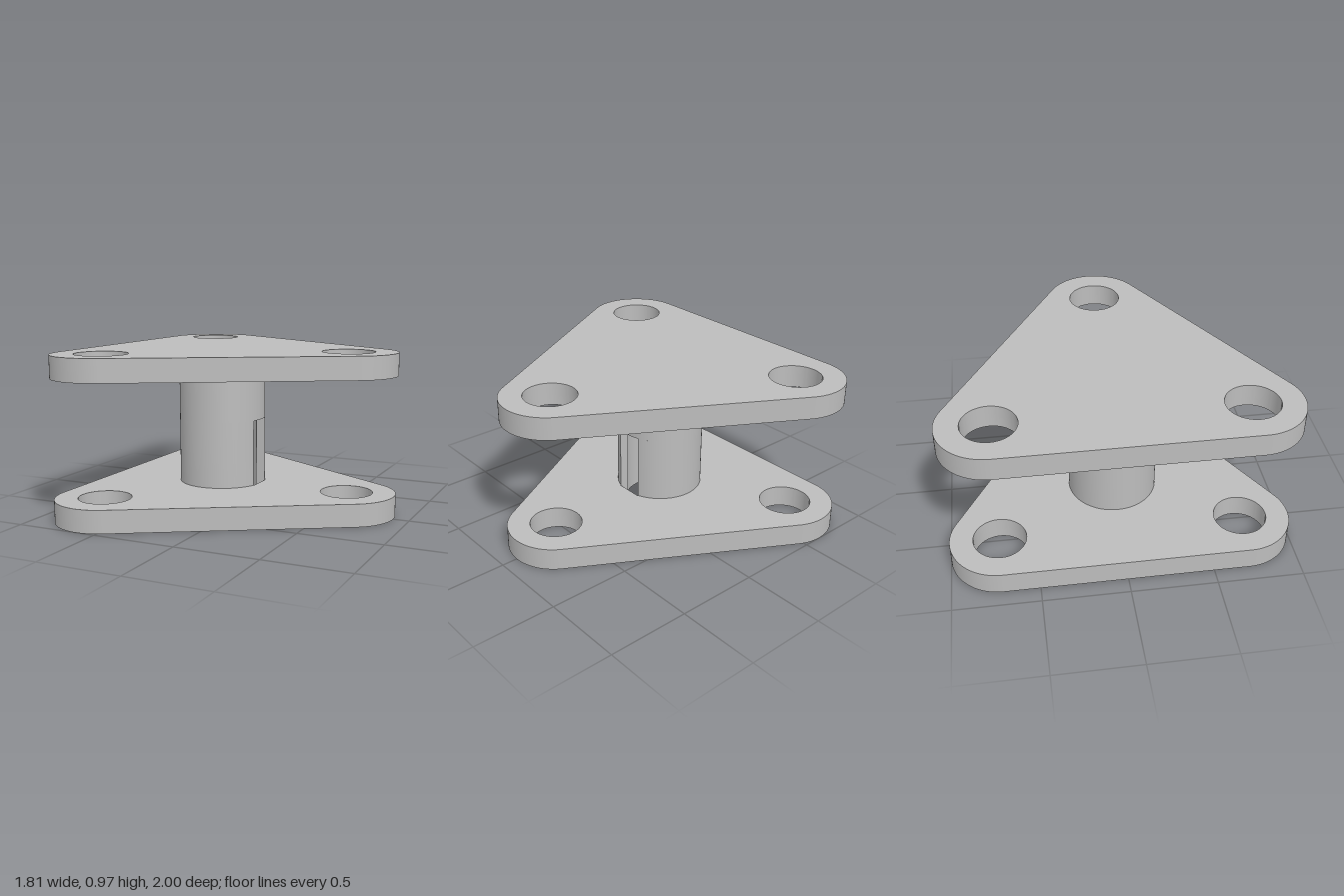
import * as THREE from 'three';
import { toCreasedNormals } from 'three/addons/utils/BufferGeometryUtils.js';

const CX = -0.205;            // hub axis, at the centroid of the plates
const OUTER = 0.265, BORE = 0.21, SLOT = 0.083, KEY = 0.255;
const PLATE = 0.135, BORE_TOP = 0.535, TOP_PLATE_Y = 0.835;
const CORNERS = [[0.615, 0], [-0.615, 0.71], [-0.615, -0.71]];

// Extrude a plan outline upwards from height y
function extrudeUp(shape, y, height) {
  const geo = new THREE.ExtrudeGeometry(shape, { depth: height, bevelEnabled: false, curveSegments: 48 });
  geo.rotateX(-Math.PI / 2);
  geo.translate(0, y, 0);
  return toCreasedNormals(geo, 0.5);
}

// Rounded triangle with a hole in each corner
function plateShape() {
  const shape = new THREE.Shape();
  CORNERS.forEach(([x, z], i) => {
    const mid = i * Math.PI * 2 / 3;
    shape.absarc(x, z, 0.29, mid - Math.PI / 3, mid + Math.PI / 3, false);
    shape.holes.push(new THREE.Path().absarc(x, z, 0.155, 0, Math.PI * 2, true));
  });
  shape.closePath();
  return shape;
}

export function createModel() {
  const group = new THREE.Group();
  const grey = new THREE.MeshStandardMaterial({ color: 0xbcbcbc });
  const add = (name, geo) => {
    const mesh = new THREE.Mesh(geo, grey);
    mesh.name = name;
    group.add(mesh);
    return mesh;
  };
  const inner = Math.asin(SLOT / BORE), outer = Math.asin(SLOT / OUTER);

  // Bottom plate, with the bore and its keyway passing through
  const bottom = plateShape();
  const keyhole = new THREE.Path();
  keyhole.absarc(CX, 0, BORE, inner, Math.PI * 2 - inner, false);
  keyhole.lineTo(CX + KEY, -SLOT);
  keyhole.lineTo(CX + KEY, SLOT);
  keyhole.closePath();
  bottom.holes.push(keyhole);
  add('bottomPlate', extrudeUp(bottom, 0, PLATE));

  // Slotted lower part of the hub
  const ring = new THREE.Shape();
  ring.absarc(CX, 0, OUTER, outer, Math.PI * 2 - outer, false);
  ring.absarc(CX, 0, BORE, Math.PI * 2 - inner, inner, true);
  ring.closePath();
  add('slottedHub', extrudeUp(ring, PLATE, BORE_TOP - PLATE));

  // Solid upper part of the hub, closing the bore
  const solid = new THREE.CylinderGeometry(OUTER, OUTER, TOP_PLATE_Y - BORE_TOP, 96);
  add('solidHub', solid).position.set(CX, (TOP_PLATE_Y + BORE_TOP) / 2, 0);

  // Top plate
  add('topPlate', extrudeUp(plateShape(), TOP_PLATE_Y, PLATE));
  return group;
}
